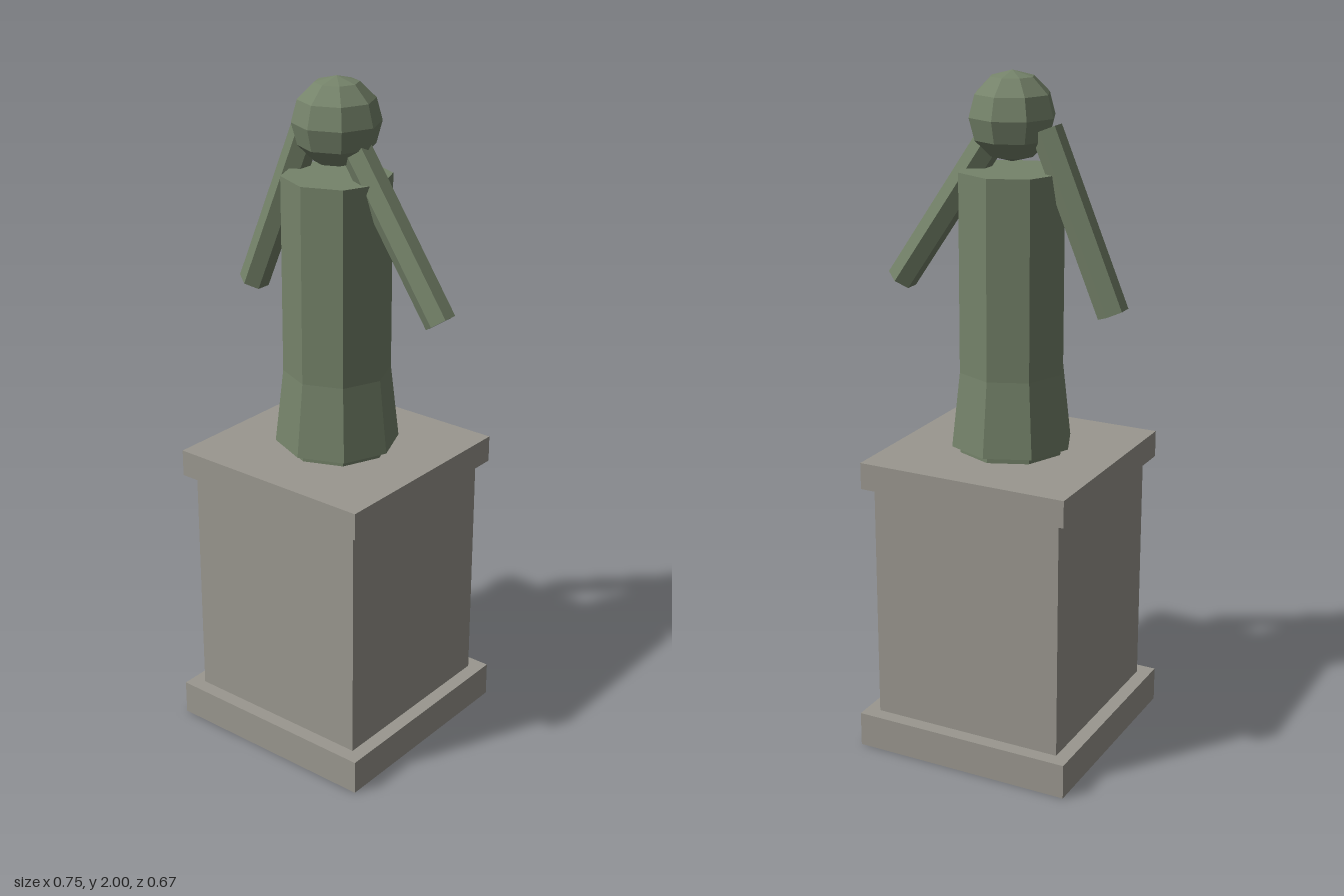
import * as THREE from 'three';

export function createModel() {
  const group = new THREE.Group();
  group.name = 'statueOnPlinth';
  const stone = new THREE.MeshStandardMaterial({ color: 0x9a978f, flatShading: true });
  const bronze = new THREE.MeshStandardMaterial({ color: 0x75836a, flatShading: true });
  const cx = -0.0225; // common axis of plinth and figure

  const add = (name, geometry, material, x, y) => {
    const mesh = new THREE.Mesh(geometry, material);
    mesh.name = name;
    mesh.position.set(x, y, 0);
    group.add(mesh);
    return mesh;
  };

  // Plinth: square slabs given by width, bottom and top
  const slabs = [
    ['plinthBase', 0.674, 0, 0.105],
    ['plinthShaft', 0.589, 0.105, 0.825],
    ['plinthCap', 0.645, 0.825, 0.905],
  ];
  for (const [name, w, y0, y1] of slabs) {
    add(name, new THREE.BoxGeometry(w, y1 - y0, w), stone, cx, (y0 + y1) / 2);
  }

  // Figure: octagonal body with a flared skirt and a faceted head
  add('body', new THREE.CylinderGeometry(0.157, 0.157, 0.82, 8), bronze, cx, 1.315);
  add('skirt', new THREE.CylinderGeometry(0.156, 0.182, 0.23, 8), bronze, cx, 1.041);
  add('head', new THREE.SphereGeometry(0.126, 8, 6), bronze, cx, 1.874);

  // Arms: hexagonal rods hanging outwards at different angles
  for (const [name, side, angle] of [['rightArm', -1, 0.4], ['leftArm', 1, 0.6]]) {
    const arm = add(name, new THREE.CylinderGeometry(0.045, 0.045, 0.54, 6), bronze, cx + side * 0.21, 1.596);
    arm.rotation.z = side * angle;
  }
  return group;
}
